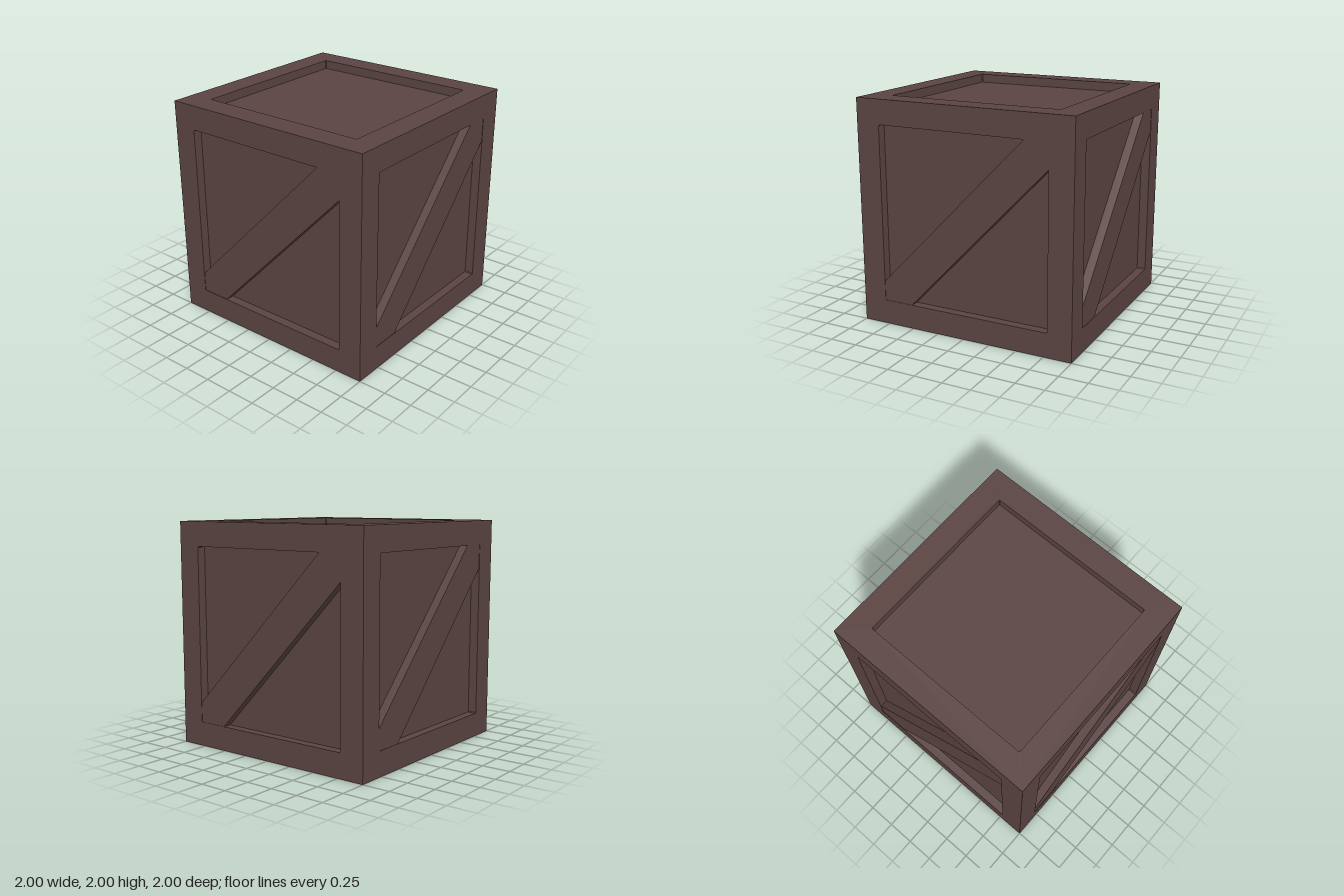
import * as THREE from 'three';

const HALF = 1;        // half the crate's edge
const OPEN = 0.783;    // half the opening inside each frame
const DEPTH = 0.08;    // how far the panels are set back

// Square frame with a hole; its outer rim is mitred at 45 degrees so six fit together
function frameGeometry() {
  const shape = new THREE.Shape([
    new THREE.Vector2(-HALF, -HALF), new THREE.Vector2(HALF, -HALF),
    new THREE.Vector2(HALF, HALF), new THREE.Vector2(-HALF, HALF),
  ]);
  const c = 0.008, o = OPEN; // tiny clipped corners
  shape.holes.push(new THREE.Path([
    [-o + c, -o], [-o, -o + c], [-o, o - c], [-o + c, o],
    [o - c, o], [o, o - c], [o, -o + c], [o - c, -o],
  ].map(([x, y]) => new THREE.Vector2(x, y))));
  const geo = new THREE.ExtrudeGeometry(shape, { depth: DEPTH, bevelEnabled: false });
  const p = geo.attributes.position;
  for (let i = 0; i < p.count; i++) {
    if (Math.abs(p.getX(i)) > 0.99 && p.getZ(i) < DEPTH / 2) {
      p.setXY(i, p.getX(i) * (1 - DEPTH), p.getY(i) * (1 - DEPTH));
    }
  }
  geo.translate(0, 0, HALF - DEPTH);
  geo.computeVertexNormals();
  return geo;
}

// Diagonal board cut to the opening's corners
function braceGeometry() {
  const o = OPEN;
  const shape = new THREE.Shape([
    [-o, -o], [-0.51, -o], [o, 0.567], [o, o], [0.567, o], [-o, -0.605],
  ].map(([x, y]) => new THREE.Vector2(x, y)));
  const geo = new THREE.ExtrudeGeometry(shape, { depth: DEPTH - 0.004, bevelEnabled: false });
  geo.translate(0, 0, HALF - DEPTH);
  return geo;
}

export function createModel() {
  const wood = new THREE.MeshStandardMaterial({ color: 0x5a4442 });
  wood.name = 'darkWood';

  const crate = new THREE.Group();
  crate.name = 'crate';
  const frameGeo = frameGeometry();
  const braceGeo = braceGeometry();

  const add = (name, geo, parent) => {
    const mesh = new THREE.Mesh(geo, wood);
    mesh.name = name;
    parent.add(mesh);
  };

  // Inner box whose faces are the recessed panels
  const inner = 2 * (HALF - DEPTH);
  const core = new THREE.Group();
  core.name = 'panels';
  core.position.y = HALF;
  add('recessedPanels', new THREE.BoxGeometry(inner, inner, inner), core);
  crate.add(core);

  // Six framed faces; the four upright ones carry a diagonal brace
  const q = Math.PI / 2;
  const faces = [
    ['front', 0, 0, true], ['left', 0, q, true],
    ['back', 0, 2 * q, true], ['right', 0, -q, true],
    ['top', -q, 0, false], ['bottom', q, 0, false],
  ];
  for (const [name, rx, ry, braced] of faces) {
    const side = new THREE.Group();
    side.name = name + 'Side';
    side.position.y = HALF;
    side.rotation.set(rx, ry, 0);
    add(name + 'Frame', frameGeo, side);
    if (braced) add(name + 'Brace', braceGeo, side);
    crate.add(side);
  }
  return crate;
}
